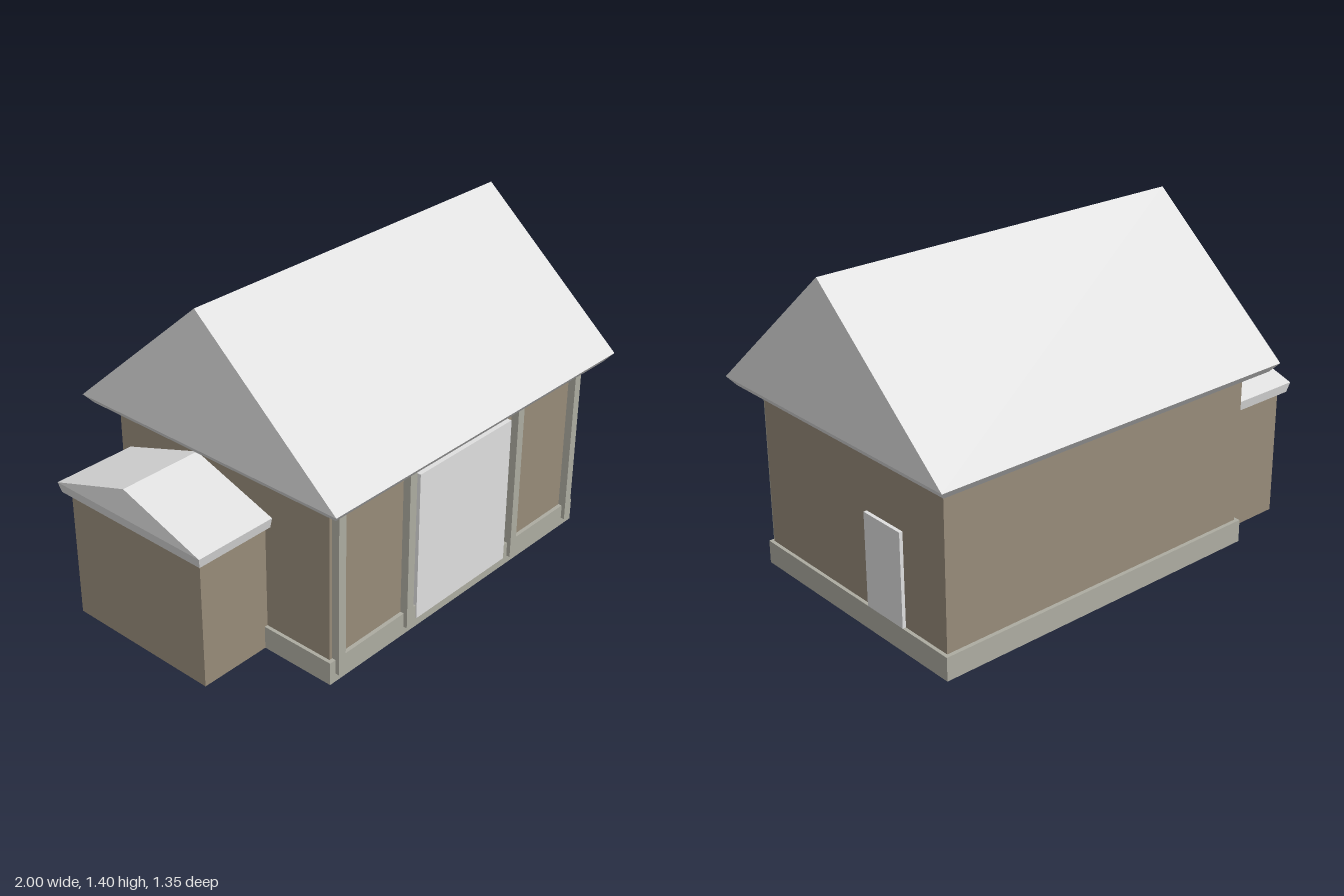
import * as THREE from 'three';

const mat = (name, color) => {
  const m = new THREE.MeshStandardMaterial({ color });
  m.name = name;
  return m;
};

// Box given by its extents along each axis
function box(name, [x0, x1], [y0, y1], [z0, z1], material) {
  const mesh = new THREE.Mesh(new THREE.BoxGeometry(x1 - x0, y1 - y0, z1 - z0), material);
  mesh.position.set((x0 + x1) / 2, (y0 + y1) / 2, (z0 + z1) / 2);
  mesh.name = name;
  return mesh;
}

// Gable roof lofted through rectangles: soffit, eave, then a ridge of zero depth
function gableRoof(name, [x0, x1], [z0, z1], [ySoffit, yEave, yRidge], inset, material) {
  const zm = (z0 + z1) / 2;
  const ring = (a, b, c, d, y) => [[a, y, d], [b, y, d], [b, y, c], [a, y, c]];
  const rings = [
    ring(x0 + inset, x1 - inset, z0 + inset, z1 - inset, ySoffit),
    ring(x0, x1, z0, z1, yEave),
    ring(x0, x1, zm, zm, yRidge),
  ];
  const pos = [];
  const quad = (a, b, c, d) => pos.push(...a, ...b, ...c, ...a, ...c, ...d);
  for (let r = 0; r < 2; r++) {
    for (let i = 0; i < 4; i++) {
      const j = (i + 1) % 4, lo = rings[r], hi = rings[r + 1];
      if (r === 1 && i % 2 === 1) pos.push(...lo[i], ...lo[j], ...hi[i]); // gable end
      else quad(lo[i], lo[j], hi[j], hi[i]);
    }
  }
  const s = rings[0];
  quad(s[3], s[2], s[1], s[0]);
  const geo = new THREE.BufferGeometry();
  geo.setAttribute('position', new THREE.Float32BufferAttribute(pos, 3));
  geo.computeVertexNormals();
  const mesh = new THREE.Mesh(geo, material);
  mesh.name = name;
  return mesh;
}

export function createModel() {
  const wall = mat('brown wall', 0x978b79);
  const stone = mat('grey stone', 0xadaca1);
  const pale = mat('pale grey', 0xdfdfdf);

  const model = new THREE.Group();
  model.name = 'barn';

  // Main building
  model.add(
    box('mainWalls', [-0.63, 0.905], [0.02, 0.78], [-0.56, 0.56], wall),
    box('plinth', [-0.645, 0.92], [0, 0.1], [-0.577, 0.577], stone),
    gableRoof('mainRoof', [-0.72, 1], [-0.675, 0.675], [0.78, 0.817, 1.4], 0.03, pale),
  );

  // Posts along the front
  for (const x of [-0.596, -0.2, 0.472, 0.868]) {
    model.add(box('frontPost', [x - 0.019, x + 0.019], [0.037, 0.78], [0.555, 0.594], stone));
  }

  // Doors
  model.add(
    box('frontDoor', [-0.146, 0.423], [0.04, 0.7], [0.555, 0.582], pale),
    box('sideDoor', [0.9, 0.92], [0.1, 0.5], [-0.318, -0.102], pale),
  );

  // Side annex
  model.add(
    box('annexWalls', [-0.965, -0.625], [0, 0.56], [-0.475, 0.237], wall),
    gableRoof('annexRoof', [-1, -0.61], [-0.512, 0.274], [0.56, 0.604, 0.735], 0.01, pale),
  );

  return model;
}
